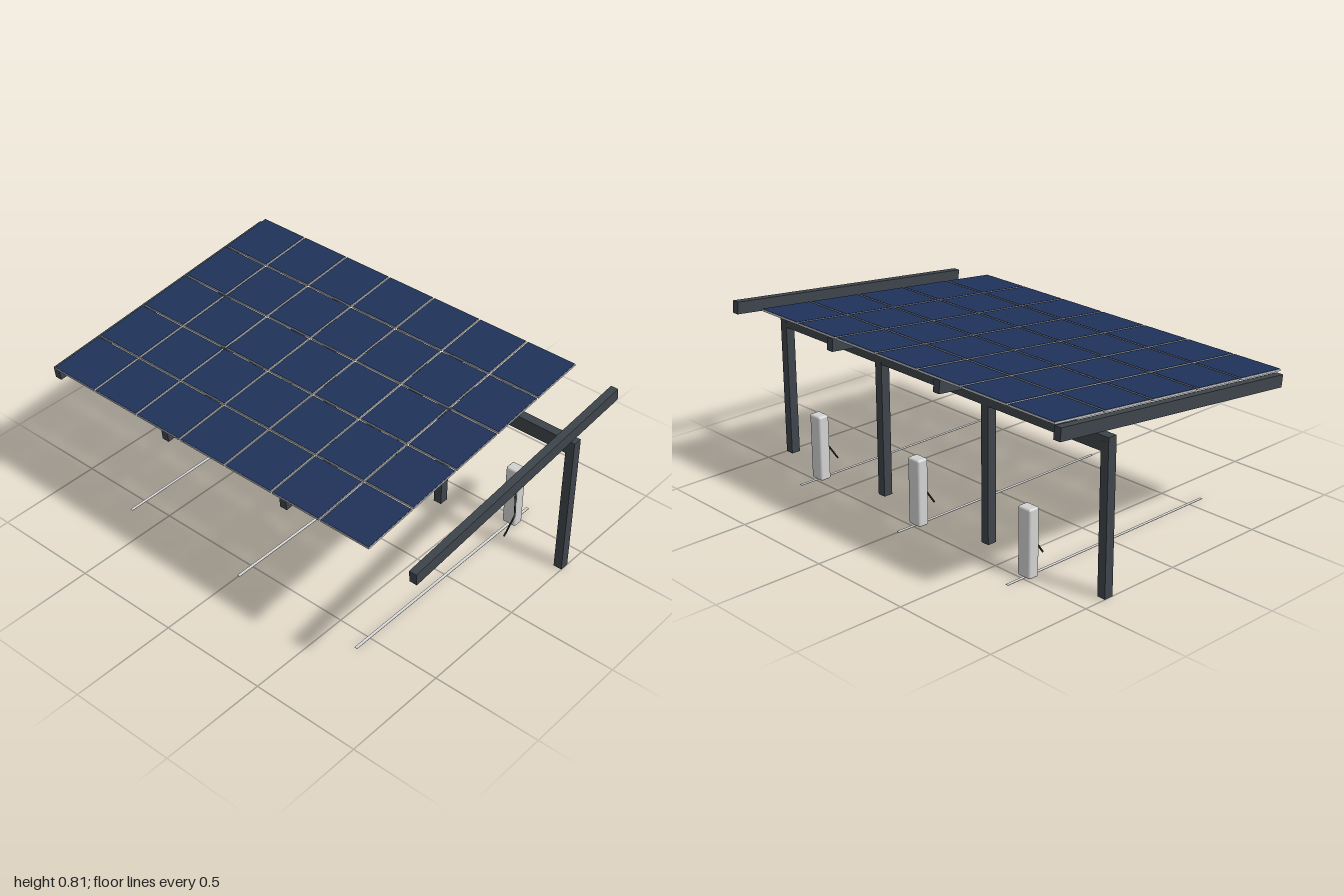
import * as THREE from 'three';
import { RoundedBoxGeometry } from 'three/addons/geometries/RoundedBoxGeometry.js';

const material = (name, color) => {
  const m = new THREE.MeshStandardMaterial({ color });
  m.name = name;
  return m;
};

export function createModel() {
  const steel = material('dark steel', 0x3d444a);
  const cells = material('solar blue', 0x20325a);
  const frame = material('frame grey', 0xc6c8ca);
  const casing = material('charger grey', 0xd2d2d2);
  const rubber = material('cable black', 0x1a1c1f);
  const paint = material('line paint', 0xd8d8d8);

  const model = new THREE.Group();
  model.name = 'solarCarport';

  const add = (parent, name, geometry, mat, x = 0, y = 0, z = 0) => {
    const mesh = new THREE.Mesh(geometry, mat);
    mesh.name = name;
    mesh.position.set(x, y, z);
    parent.add(mesh);
    return mesh;
  };

  // Tilted roof, higher at the back
  const roof = new THREE.Group();
  roof.name = 'roof';
  roof.position.y = 0.692;
  roof.rotation.x = THREE.MathUtils.degToRad(6);
  model.add(roof);

  // Posts carry one long beam; a rafter lies above each post
  const beamZ = -0.373;
  const postGeo = new THREE.BoxGeometry(0.04, 0.655, 0.043);
  const rafterGeo = new THREE.BoxGeometry(0.035, 0.055, 1.303);
  for (const x of [-0.98, -0.327, 0.327, 0.98]) {
    add(model, 'post', postGeo, steel, x, 0.3275, beamZ);
    add(roof, 'rafter', rafterGeo, steel, x, 0, 0);
  }
  add(model, 'beam', new THREE.BoxGeometry(2, 0.065, 0.042), steel, 0, 0.6435, beamZ);

  // Solar panels: pale frame with a blue cell plate on top
  const cols = 7, rows = 5, pitchX = 0.2515, pitchZ = 0.267;
  const panelGeo = new THREE.BoxGeometry(0.243, 0.008, 0.258);
  const cellGeo = new THREE.BoxGeometry(0.239, 0.002, 0.254);
  for (let c = 0; c < cols; c++) {
    for (let r = 0; r < rows; r++) {
      const panel = new THREE.Group();
      panel.name = 'solarPanel';
      panel.position.set(-0.098 + (c - (cols - 1) / 2) * pitchX, 0.039, (r - (rows - 1) / 2) * pitchZ);
      add(panel, 'panelFrame', panelGeo, frame);
      add(panel, 'panelCells', cellGeo, cells, 0, 0.0045, 0);
      roof.add(panel);
    }
  }

  // Chargers in the middle of each bay, each with a cable and a bay line
  const cablePath = new THREE.CurvePath();
  const cablePoints = [[0.023, 0.19, -0.445], [0.069, 0.123, -0.382], [0.059, 0.037, -0.327]]
    .map((p) => new THREE.Vector3(...p));
  cablePath.add(new THREE.LineCurve3(cablePoints[0], cablePoints[1]));
  cablePath.add(new THREE.LineCurve3(cablePoints[1], cablePoints[2]));
  const cableGeo = new THREE.TubeGeometry(cablePath, 12, 0.0042, 8);
  const bodyGeo = new RoundedBoxGeometry(0.07, 0.304, 0.053, 3, 0.01);
  const holderGeo = new THREE.CylinderGeometry(0.017, 0.018, 0.006, 16).rotateX(Math.PI / 2);
  const lineGeo = new THREE.BoxGeometry(0.014, 0.002, 1.166);
  for (const x of [-0.653, 0, 0.653]) {
    const charger = new THREE.Group();
    charger.name = 'charger';
    charger.position.x = x;
    add(charger, 'chargerBody', bodyGeo, casing, 0, 0.153, -0.467);
    add(charger, 'plugHolder', holderGeo, casing, 0, 0.218, -0.438);
    add(charger, 'chargerCable', cableGeo, rubber);
    model.add(charger);
    add(model, 'bayLine', lineGeo, paint, x, 0.001, 0);
  }
  return model;
}
